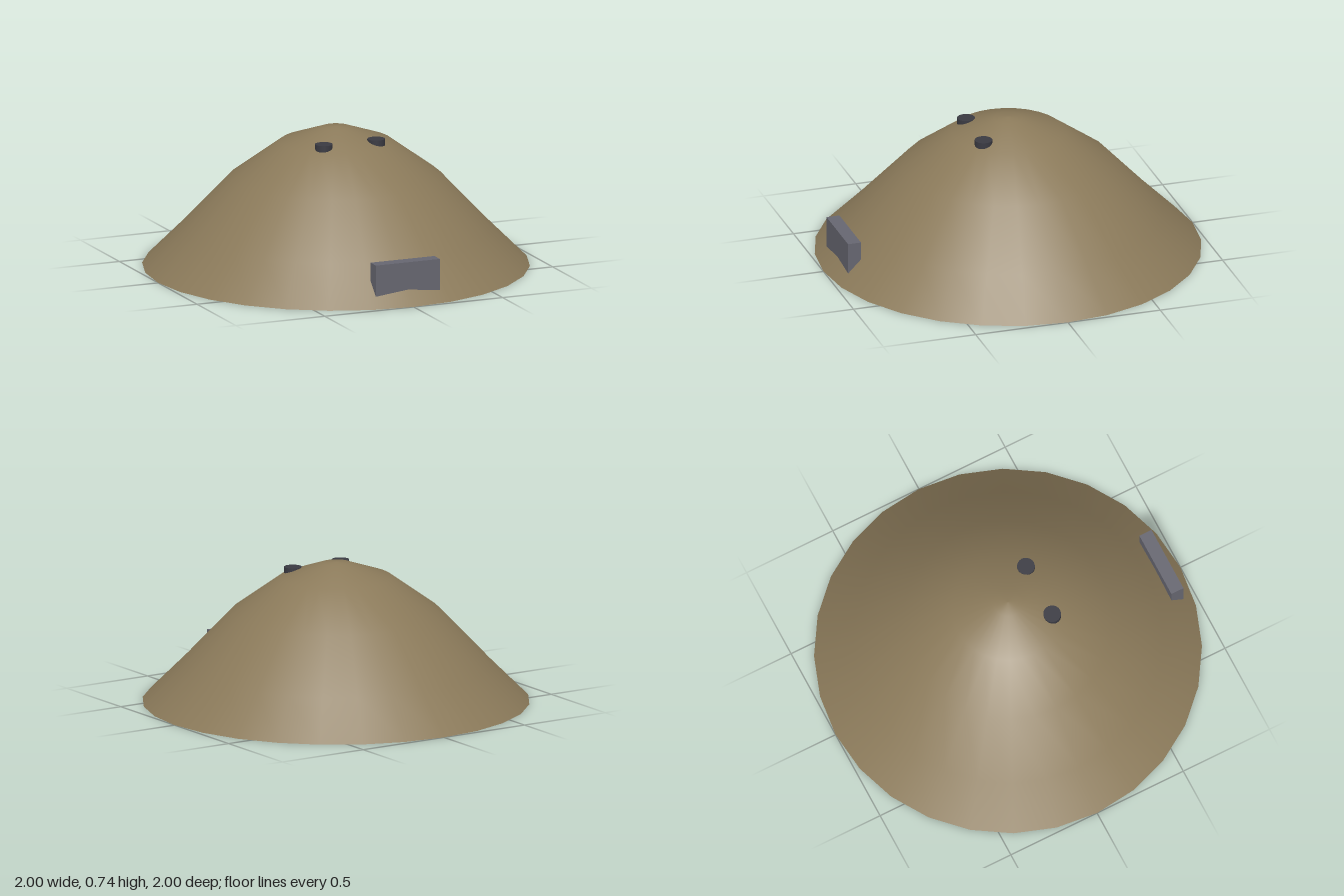
import * as THREE from 'three';

export function createModel() {
  const earth = new THREE.MeshStandardMaterial({ color: 0x8b7a5a });
  earth.name = 'earth brown';
  const stone = new THREE.MeshStandardMaterial({ color: 0x666670 });
  stone.name = 'slate grey';
  const dark = new THREE.MeshStandardMaterial({ color: 0x3a3a42 });
  dark.name = 'dark grey';

  const group = new THREE.Group();
  group.name = 'mound';
  const add = (name, geometry, material, x = 0, y = 0, z = 0) => {
    const mesh = new THREE.Mesh(geometry, material);
    mesh.name = name;
    mesh.position.set(x, y, z);
    group.add(mesh);
    return mesh;
  };

  // Smooth hill, swept from rim to summit
  const sides = 28;
  const profile = [[1, 0], [0.8, 0.2], [0.545, 0.47], [0.29, 0.655], [0.075, 0.73], [0, 0.737]]
    .map(([r, y]) => new THREE.Vector2(r, y));
  add('hill', new THREE.LatheGeometry(profile, sides), earth);

  // Flat underside
  add('base', new THREE.CircleGeometry(1, sides).rotateX(Math.PI / 2), earth);

  // Upright slab set into the front slope
  add('frontSlab', new THREE.BoxGeometry(0.36, 0.216, 0.07), stone, 0, 0.112, 0.89);

  // Pair of flat discs near the summit
  for (const side of [-1, 1]) {
    add(side > 0 ? 'leftDisc' : 'rightDisc',
      new THREE.CylinderGeometry(0.046, 0.046, 0.04, 20), dark, side * 0.147, 0.673, 0.18);
  }
  return group;
}
